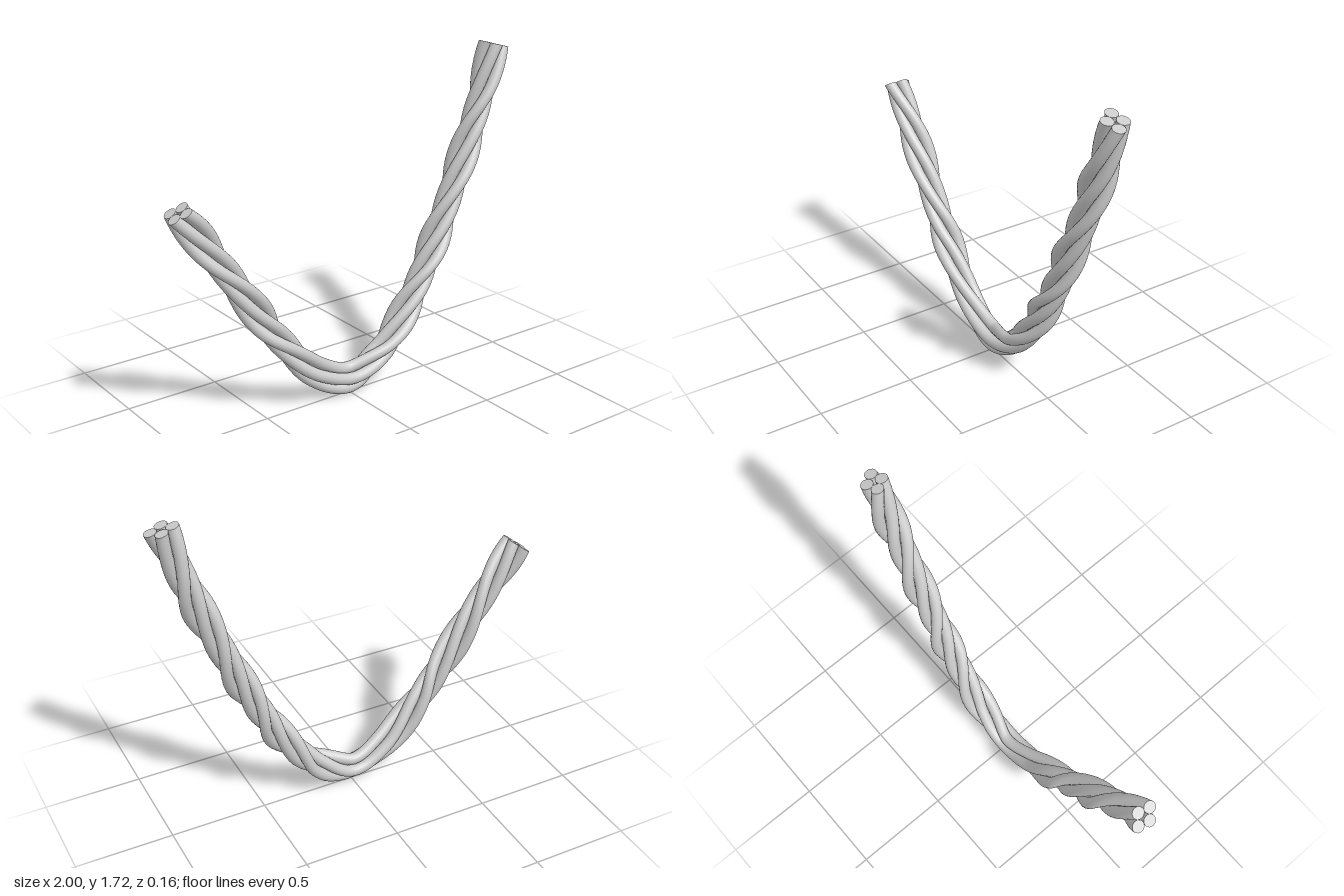
import * as THREE from 'three';

const STRAND_RADIUS = 0.031;
const STEPS = 160;
const SIDES = 20;
const PHASE_SCALE = 0.001; // degrees stored in the z channel of the guide curve

// Centre line of the rope: x, y and twist angle in degrees.
// The twist reverses at the bottom of the sag.
const GUIDE = [
  [-0.945, 1.167, -429], [-0.82, 0.99, -355], [-0.68, 0.79, -270],
  [-0.53, 0.56, -180], [-0.4, 0.385, -95], [-0.2, 0.17, -12],
  [0, 0.083, 12], [0.2, 0.172, -55], [0.28, 0.25, -95],
  [0.405, 0.425, -180], [0.503, 0.605, -270], [0.59, 0.79, -355],
  [0.685, 1.02, -450], [0.777, 1.25, -540], [0.855, 1.47, -630],
  [0.921, 1.697, -702],
];

// Four strands packed as a rhombus: distance from the rope axis and angle.
const STRANDS = [[0.051, 0], [0.036, 90], [0.051, 180], [0.036, 270]];

function buildFrames() {
  const curve = new THREE.CatmullRomCurve3(
    GUIDE.map(([x, y, a]) => new THREE.Vector3(x, y, a * PHASE_SCALE)));
  const frames = [];
  for (let i = 0; i <= STEPS; i++) {
    const p = curve.getPointAt(i / STEPS);
    const t = curve.getTangentAt(i / STEPS);
    const len = Math.hypot(t.x, t.y);
    frames.push({
      x: p.x, y: p.y, phase: THREE.MathUtils.degToRad(p.z / PHASE_SCALE),
      nx: t.y / len, ny: -t.x / len, // outward normal of the sag
    });
  }
  return frames;
}

// Round strand swept along the twisted path, with flat ends.
function strandGeometry(frames, distance, angle) {
  const pos = [];
  const index = [];
  const push = (f, u, z) => pos.push(f.x + f.nx * u, f.y + f.ny * u, z);
  const ring = (f) => {
    const a = f.phase + angle;
    const first = pos.length / 3;
    for (let j = 0; j < SIDES; j++) {
      const b = a + (j / SIDES) * Math.PI * 2;
      push(f, distance * Math.cos(a) + STRAND_RADIUS * Math.cos(b),
        distance * Math.sin(a) + STRAND_RADIUS * Math.sin(b));
    }
    return first;
  };

  // Side wall
  frames.forEach(ring);
  for (let i = 0; i < STEPS; i++) {
    for (let j = 0; j < SIDES; j++) {
      const k = (j + 1) % SIDES;
      const a = i * SIDES + j, b = i * SIDES + k;
      index.push(a, a + SIDES, b, b, a + SIDES, b + SIDES);
    }
  }

  // End caps on their own vertices, so the rim stays sharp
  [frames[0], frames[STEPS]].forEach((f, end) => {
    const first = ring(f);
    const centre = pos.length / 3;
    const a = f.phase + angle;
    push(f, distance * Math.cos(a), distance * Math.sin(a));
    for (let j = 0; j < SIDES; j++) {
      const p = first + j, q = first + (j + 1) % SIDES;
      if (end === 0) index.push(centre, p, q);
      else index.push(centre, q, p);
    }
  });

  const geometry = new THREE.BufferGeometry();
  geometry.setAttribute('position', new THREE.Float32BufferAttribute(pos, 3));
  geometry.setIndex(index);
  geometry.computeVertexNormals();
  return geometry;
}

export function createModel() {
  const rope = new THREE.Group();
  rope.name = 'hangingRope';
  const material = new THREE.MeshStandardMaterial({ color: 0xcccccc });
  const frames = buildFrames();
  STRANDS.forEach(([distance, degrees], i) => {
    const mesh = new THREE.Mesh(
      strandGeometry(frames, distance, THREE.MathUtils.degToRad(degrees)), material);
    mesh.name = `ropeStrand${i + 1}`;
    rope.add(mesh);
  });
  return rope;
}
